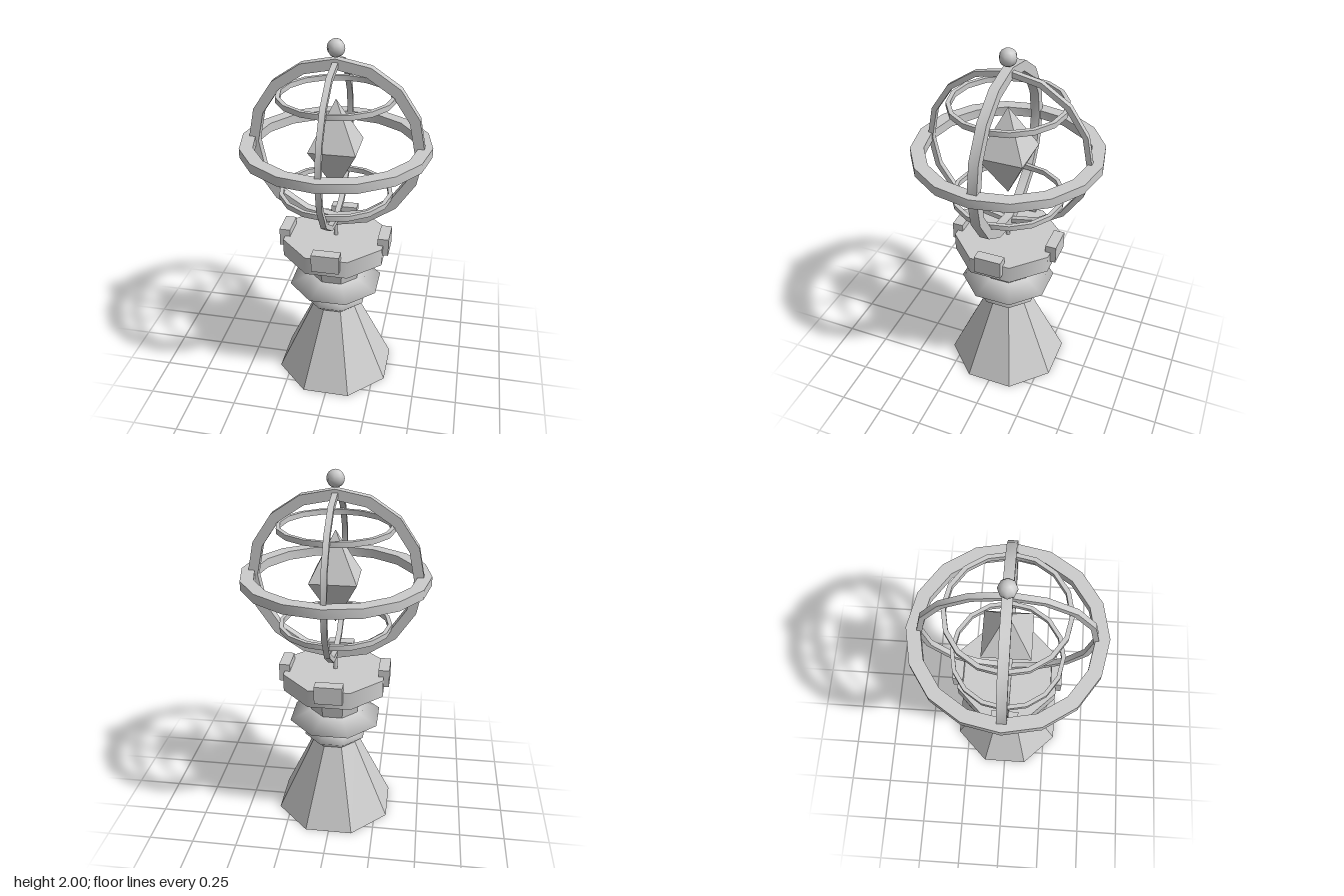
import * as THREE from 'three';
import { toCreasedNormals } from 'three/addons/utils/BufferGeometryUtils.js';

const smooth = new THREE.MeshStandardMaterial({ color: 0xcccccc, side: THREE.DoubleSide });
const flat = new THREE.MeshStandardMaterial({ color: 0xcccccc, side: THREE.DoubleSide, flatShading: true });
const OCT = 1 / Math.cos(Math.PI / 8); // flat-to-flat half width -> corner radius
const CENTRE = 1.44;                   // height of the middle of the sphere of rings

export function createModel() {
  const model = new THREE.Group();
  model.name = 'armillaryPedestal';

  function add(name, geometry, material, y = 0) {
    const mesh = new THREE.Mesh(geometry, material);
    mesh.name = name;
    mesh.position.y = y;
    model.add(mesh);
    return mesh;
  }

  // Eight-sided section with flats facing the axes
  function octagon(name, top, bottom, y0, y1, open, material) {
    const g = new THREE.CylinderGeometry(top * OCT, bottom * OCT, y1 - y0, 8, 1, open, Math.PI / 8);
    return add(name, g, material, (y0 + y1) / 2);
  }

  // Eight-sided collar with a softly shaded ridge
  function collar(name, profile) {
    const points = profile.map(([r, y]) => new THREE.Vector2(r * OCT, y));
    return add(name, new THREE.LatheGeometry(points, 8, Math.PI / 8), smooth);
  }

  // Sixteen-sided band of rectangular section, lying flat
  function band(name, inner, outer, height, y) {
    const h = height / 2;
    const points = [[inner, -h], [outer, -h], [outer, h], [inner, h], [inner, -h]]
      .map(([r, v]) => new THREE.Vector2(r, v));
    return add(name, toCreasedNormals(new THREE.LatheGeometry(points, 16), 0.7), smooth, y);
  }

  // Pedestal, hollow underneath
  octagon('base', 0.12, 0.318, 0, 0.45, true, flat);
  collar('lowerCollar', [[0.12, 0.45], [0.167, 0.495], [0.125, 0.54]]);
  collar('upperCollar', [[0.125, 0.54], [0.245, 0.6], [0.13, 0.655]]);
  octagon('neck', 0.148, 0.13, 0.65, 0.76, true, flat);
  octagon('platformBevel', 0.275, 0.155, 0.76, 0.8, true, smooth);
  octagon('platform', 0.275, 0.275, 0.8, 0.9, false, smooth);

  // Four blocks around the platform rim
  for (let i = 0; i < 4; i++) {
    const a = i * Math.PI / 2;
    const block = add('rimBlock', new THREE.BoxGeometry(0.15, 0.1, 0.06), flat, 0.89);
    block.position.x = 0.275 * Math.sin(a);
    block.position.z = 0.275 * Math.cos(a);
    block.rotation.y = a;
  }

  // Stem carrying the rings
  add('stem', new THREE.CylinderGeometry(0.012, 0.012, 0.1, 8), smooth, 0.945);

  // Rings
  band('equatorRing', 0.432, 0.503, 0.05, CENTRE);
  band('frontMeridianRing', 0.412, 0.466, 0.05, CENTRE).rotation.x = Math.PI / 2;
  band('sideMeridianRing', 0.425, 0.453, 0.03, CENTRE).rotation.z = Math.PI / 2;
  for (const s of [-1, 1]) band(s > 0 ? 'upperRing' : 'lowerRing', 0.285, 0.307, 0.028, CENTRE + s * 0.27);

  // Floating crystal with its square waist aligned to the axes
  const crystal = new THREE.OctahedronGeometry(1);
  crystal.rotateY(Math.PI / 4).scale(0.177, 0.255, 0.177);
  add('crystal', crystal, flat, CENTRE);

  // Finial
  add('finial', new THREE.SphereGeometry(0.046, 8, 8), smooth, 1.954);

  return model;
}
